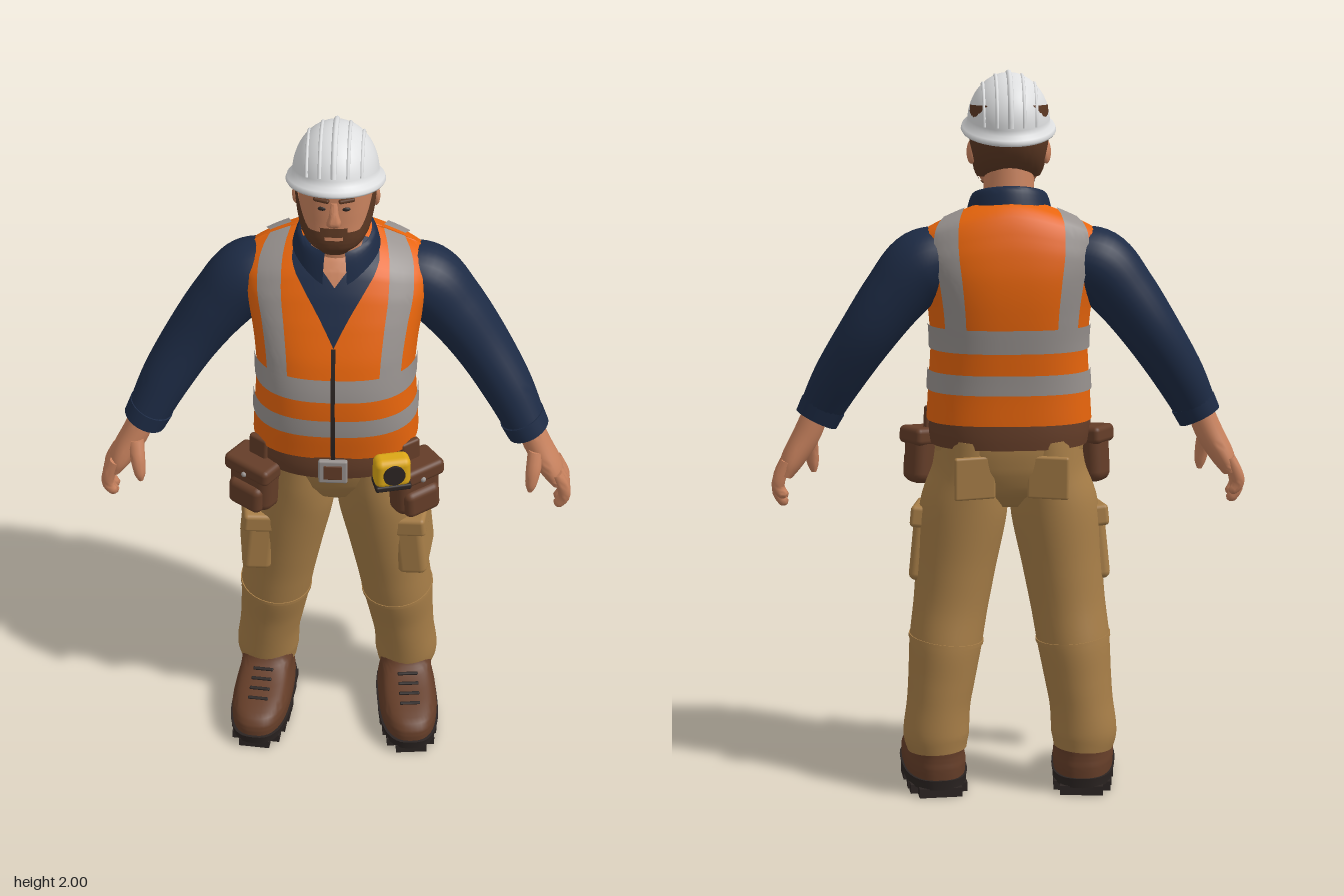
import * as THREE from 'three';
import { mergeVertices, toCreasedNormals } from 'three/addons/utils/BufferGeometryUtils.js';
import { RoundedBoxGeometry } from 'three/addons/geometries/RoundedBoxGeometry.js';

const mat = (name, color, side = THREE.FrontSide) => {
  const m = new THREE.MeshStandardMaterial({ color, side });
  m.name = name;
  return m;
};
const M = {
  white: mat('helmetWhite', 0xdedfe0), skin: mat('skin', 0xc8825e), hair: mat('hairBrown', 0x5c3823),
  navy: mat('shirtNavy', 0x1d2b45, THREE.DoubleSide), orange: mat('vestOrange', 0xe8650c), grey: mat('reflectiveGrey', 0x98928f),
  khaki: mat('trouserKhaki', 0xa67d47), leather: mat('leatherBrown', 0x643d28), dark: mat('rubberDark', 0x2b2422),
  yellow: mat('tapeYellow', 0xdba716),
};
const PI = Math.PI, TAU = PI * 2;

export function createModel() {
  const root = new THREE.Group();
  root.name = 'builder';

  const add = (name, geo, material, pos = [0, 0, 0], rot = [0, 0, 0], parent = root) => {
    const m = new THREE.Mesh(geo, material);
    m.name = name;
    m.position.set(...pos);
    m.rotation.set(...rot);
    parent.add(m);
    return m;
  };
  const rbox = (w, h, d, r = 0.015) => new RoundedBoxGeometry(w, h, d, 3, Math.min(r, w / 2.1, h / 2.1, d / 2.1));

  // Parametric sheet; faces look along du x dv
  const grid = (fn, nu, nv) => {
    const pos = [], idx = [];
    for (let j = 0; j <= nv; j++) for (let i = 0; i <= nu; i++) pos.push(...fn(i / nu, j / nv, j).toArray());
    for (let j = 0; j < nv; j++) for (let i = 0; i < nu; i++) {
      const a = j * (nu + 1) + i, b = a + nu + 1;
      idx.push(a, a + 1, b, a + 1, b + 1, b);
    }
    const g = new THREE.BufferGeometry();
    g.setAttribute('position', new THREE.Float32BufferAttribute(pos, 3));
    g.setIndex(idx);
    return toCreasedNormals(mergeVertices(g, 1e-5), 1.0);
  };

  // Body surface from rows [y, halfWidth, zFront, zBack]; angle 0 is the front, PI / 2 is +x
  const surface = (rows, n = 2.3, drop = () => 0) => {
    const curve = new THREE.CatmullRomCurve3(rows.map(r => new THREE.Vector3(r[1], r[2], r[3])));
    return (a, y, off = 0) => {
      let i = 0;
      while (i < rows.length - 2 && y > rows[i + 1][0]) i++;
      const t = THREE.MathUtils.clamp((y - rows[i][0]) / (rows[i + 1][0] - rows[i][0]), 0, 1);
      const p = curve.getPoint((i + t) / (rows.length - 1));
      const s = Math.sin(a), c = Math.cos(a);
      const f = Math.sign(s) * Math.abs(s) ** (2 / n), g = Math.sign(c) * Math.abs(c) ** (2 / n);
      return new THREE.Vector3(f * (p.x + off), y - drop(Math.abs(f), y) + (y > 1.6 ? off * 0.7 : 0),
        (p.y + p.z) / 2 + g * ((p.y - p.z) / 2 + off));
    };
  };
  // Closed shell of a surface between two heights
  const shell = (fn, y0, y1, nv = 20, nu = 48) => grid((u, v, j) => {
    const y = y0 + (y1 - y0) * THREE.MathUtils.clamp((j - 1) / nv, 0, 1);
    return j === 0 || j === nv + 2 ? fn(0, y).add(fn(PI, y)).multiplyScalar(0.5) : fn(u * TAU, y);
  }, nu, nv + 2);
  // Thin painted patch; angle and height limits may be functions
  const patch = (fn, a0, a1, y0, y1, off, nu = 10, nv = 16) => grid((u, v) => {
    if (typeof a0 === 'function') {
      const y = y0 + (y1 - y0) * v;
      return fn(a0(y) + (a1(y) - a0(y)) * u, y, off);
    }
    const a = a0 + (a1 - a0) * u, top = typeof y1 === 'function' ? y1(a) : y1;
    return fn(a, y0 + (top - y0) * v, off);
  }, nu, nv);

  // Limb along rows [x, y, z, radius across, radius in z]
  const limb = (rows, s = 1, nv = 24, nu = 24) => {
    const path = new THREE.CatmullRomCurve3(rows.map(r => new THREE.Vector3(r[0] * s, r[1], r[2])));
    const rad = new THREE.CatmullRomCurve3(rows.map(r => new THREE.Vector3(r[3], r[4], 0)));
    return grid((u, v, j) => {
      const t = THREE.MathUtils.clamp((j - 1) / nv, 0, 1), k = j === 0 || j === nv + 2 ? 0 : 1;
      const p = path.getPoint(t), r = rad.getPoint(t), d = path.getTangent(t);
      const across = new THREE.Vector3(d.y, -d.x, 0).normalize().multiplyScalar(k * r.x * Math.sin(u * TAU));
      return p.add(across).add(new THREE.Vector3(0, 0, k * r.y * Math.cos(u * TAU)));
    }, nu, nv + 2);
  };

  // Vest
  const N = 2.6, angleOf = f => Math.asin(Math.min(1, f) ** (N / 2));
  const torso = surface([[1.05, .228, .165, -.19], [1.15, .222, .178, -.195], [1.25, .216, .178, -.205], [1.35, .222, .158, -.218],
    [1.45, .238, .12, -.222], [1.53, .252, .085, -.212], [1.59, .255, .05, -.195], [1.63, .25, 0, -.175],
    [1.655, .235, -.05, -.14], [1.665, .22, -.09, -.1]], N, (f, y) => 0.08 * f ** 1.5 * THREE.MathUtils.smoothstep(y, 1.4, 1.66));
  add('vest', shell(torso, 1.05, 1.665, 40, 64), M.orange);
  for (const [y0, y1] of [[1.135, 1.19], [1.25, 1.315]])
    add('vestBand', patch(torso, 0, TAU, y0, y1, 0.005, 64, 4), M.grey);
  const i0 = angleOf(0.55), i1 = angleOf(0.8);
  for (const c of [[i0, i1], [-i1, -i0], [PI - i1, PI - i0], [PI + i0, PI + i1]])
    add('vestStrap', patch(torso, c[0], c[1], 1.31, 1.665, 0.005, 8, 28), M.grey);
  const neckline = y => angleOf(Math.min(0.45, (y - 1.4) * 2.1));
  add('shirtFront', patch(torso, y => -neckline(y), neckline, 1.4, 1.65, 0.005), M.navy);
  const throat = y => angleOf(Math.min(0.3, (y - 1.55) * 3));
  add('throat', patch(torso, y => -throat(y), throat, 1.55, 1.64, 0.008), M.skin);
  add('zip', patch(torso, y => -angleOf(.025), y => angleOf(.025), 1.05, 1.4, 0.007, 2, 16), M.dark);

  // Shirt collar with falling points
  add('collar', grid((u, v) => {
    const a = 0.28 + (TAU - 0.56) * u, c = Math.cos(a), r = 1.1 - 0.22 * v;
    const bottom = 1.62 - 0.025 * c - 0.045 * Math.max(0, c) ** 4, top = 1.67 - 0.025 * c;
    return new THREE.Vector3(0.106 * r * Math.sin(a), bottom + (top - bottom) * v + 0.015 * Math.sin(PI * v), -0.035 + 0.105 * r * c);
  }, 40, 6), M.navy);

  // Head
  add('neck', limb([[0, 1.55, -.04, .08, .075], [0, 1.64, -.03, .07, .068], [0, 1.76, -.01, .068, .075]]), M.skin);
  const head = surface([[1.665, .03, .095, .03], [1.685, .062, .108, -.01], [1.715, .082, .112, -.06], [1.755, .092, .108, -.095],
    [1.8, .097, .106, -.112], [1.85, .098, .104, -.115], [1.9, .095, .095, -.11], [1.94, .07, .07, -.08]]);
  add('head', shell(head, 1.665, 1.94, 24), M.skin);
  const beardTop = a => 1.738 + 0.12 * THREE.MathUtils.smoothstep(Math.abs(a), 0.65, 1.35);
  add('beard', patch(head, -1.75, 1.75, 1.665, beardTop, 0.009, 40, 12), M.hair);
  add('beardUnderside', shell((a, y) => head(a, y, 0.009), 1.662, 1.69, 3), M.hair);
  add('moustache', patch(head, -0.3, 0.3, 1.728, 1.75, 0.013, 10, 3), M.hair);
  add('mouth', patch(head, -0.2, 0.2, 1.715, 1.725, 0.014, 8, 2), M.skin);
  add('backHair', patch(head, 1.72, TAU - 1.72, 1.705, 1.9, 0.011, 32, 10), M.hair);
  add('fringe', patch(head, -1.75, 1.75, 1.853, 1.9, 0.008, 32, 4), M.hair);
  add('nose', limb([[0, 1.825, .1, .009, .01], [0, 1.79, .108, .013, .016], [0, 1.765, .11, .02, .018], [0, 1.755, .105, .012, .008]], 1, 10, 14), M.skin);
  for (const s of [-1, 1]) {
    const eye = add('eye', new THREE.SphereGeometry(0.01, 12, 8), M.dark, head(s * 0.27, 1.808, -0.002).toArray());
    eye.scale.set(1.2, 0.6, 0.6);
    add('eyebrow', rbox(0.042, 0.011, 0.014, 0.005), M.hair, head(s * 0.28, 1.832, 0.002).toArray(), [0, s * 0.25, s * 0.08]);
    const ear = add('ear', new THREE.SphereGeometry(0.03, 14, 10), M.skin, [s * 0.102, 1.78, -0.02], [0.15, s * 0.3, 0]);
    ear.scale.set(0.4, 1.1, 0.7);
  }

  // Hard hat, tipped back
  const hat = new THREE.Group();
  hat.name = 'hardHat';
  hat.position.set(0, 1.848, 0.003);
  hat.rotation.x = -0.23;
  root.add(hat);
  const profile = [[0.9, -0.004], [1.1, -0.012], [1.13, -0.006], [1.1, 0.004], [0.99, 0.012]].map(p => new THREE.Vector2(...p));
  for (let i = 1; i <= 14; i++) profile.push(new THREE.Vector2(0.98 * Math.cos(i / 14 * PI / 2), 0.012 + 0.133 * Math.sin(i / 14 * PI / 2)));
  add('hatShell', new THREE.LatheGeometry(profile, 48), M.white, [0, 0, 0], [0, 0, 0], hat).scale.set(0.115, 1, 0.145);
  for (const x of [-0.07, -0.036, 0, 0.036, 0.07]) {
    const k = Math.sqrt(1 - (x / 0.113) ** 2), pts = [];
    for (let i = -8; i <= 8; i++) {
      const a = i / 8 * 1.4;
      pts.push(new THREE.Vector3(x, 0.01 + 0.134 * k * Math.cos(a), 0.142 * k * Math.sin(a)));
    }
    add('hatRib', new THREE.TubeGeometry(new THREE.CatmullRomCurve3(pts), 24, x ? 0.005 : 0.008, 8), M.white, [0, 0, 0], [0, 0, 0], hat);
  }

  // Hips and belt
  const hips = surface([[.81, .06, .03, -.1], [.86, .15, .09, -.15], [.92, .195, .13, -.172], [.98, .208, .15, -.18], [1.03, .212, .155, -.18]]);
  add('hips', shell(hips, 0.81, 1.03), M.khaki);
  const belt = surface([[.98, .217, .163, -.183], [1.02, .222, .168, -.186], [1.065, .22, .165, -.185]], 2.4);
  add('belt', shell(belt, 0.982, 1.062, 4), M.leather);
  add('buckle', rbox(0.08, 0.075, 0.016, 0.006), M.grey, [0, 1.015, 0.174]);
  add('buckleCentre', rbox(0.05, 0.045, 0.006, 0.002), M.leather, [0, 1.015, 0.182]);

  // Tape measure
  add('tapeMeasure', rbox(0.1, 0.09, 0.06, 0.02), M.yellow, [0.16, 1.035, 0.185], [0, 0.25, 0]);
  add('tapeDial', new THREE.CylinderGeometry(0.03, 0.03, 0.012, 24), M.dark, [0.168, 1.038, 0.215], [PI / 2, 0, -0.25]);
  add('tapeBase', rbox(0.1, 0.018, 0.064, 0.006), M.dark, [0.16, 0.992, 0.185], [0, 0.25, 0]);

  for (const s of [-1, 1]) {
    // Sleeve and hand
    add('sleeve', limb([[.17, 1.5, -.088, .09, .09], [.24, 1.475, -.088, .1, .102], [.31, 1.4, -.085, .09, .098], [.39, 1.29, -.075, .079, .09],
      [.47, 1.165, -.042, .07, .076], [.528, 1.055, -.008, .058, .06]], s, 32, 28), M.navy);
    add('cuff', limb([[.512, 1.085, -.015, .064, .066], [.532, 1.045, -.008, .061, .063]], s, 3), M.navy);
    add('palm', limb([[.53, 1.07, -.006, .036, .038], [.56, 1.0, 0, .038, .046], [.6, .93, .005, .033, .056], [.62, .89, .005, .022, .052]], s, 14), M.skin);
    for (const [z, len] of [[.046, .1], [.02, .115], [-.008, .11], [-.034, .085]])
      add('finger', limb([[.615, .93, z, .016, .016], [.637, .88, z, .018, .016], [.64, .915 - len * .7, z * .95, .016, .014],
        [.624, .92 - len, z * .9, .013, .012], [.62, .914 - len, z * .9, .005, .005]], s, 12, 12), M.skin);
    add('thumb', limb([[.555, 1.0, .03, .022, .02], [.55, .95, .055, .021, .019], [.545, .905, .066, .016, .015], [.543, .882, .067, .007, .007]], s, 10, 12), M.skin);

    // Trouser leg with soft folds
    add('trouserLeg', limb([[.205, .125, -.09, .083, .088], [.207, .17, -.088, .092, .095], [.2, .25, -.08, .089, .1], [.19, .33, -.072, .094, .106],
      [.178, .43, -.058, .102, .118], [.165, .52, -.045, .104, .118], [.147, .65, -.032, .112, .128], [.126, .8, -.022, .122, .145],
      [.108, .9, -.015, .106, .155], [.1, 1.0, -.012, .1, .16]], s, 48, 32), M.khaki);
    add('kneeSeam', limb([[.178, .428, -.058, .105, .121], [.177, .438, -.057, .105, .121]], s, 2, 32), M.khaki);
    add('backPocket', rbox(0.115, 0.12, 0.016, 0.007), M.khaki, [s * 0.1, 0.905, -0.168], [-0.08, s * 0.22, 0]);
    add('cargoPocket', rbox(0.085, 0.2, 0.175, 0.02), M.khaki, [s * 0.222, 0.69, 0.012], [0.06, -s * 0.12, s * 0.1]);
    add('cargoFlap', rbox(0.096, 0.06, 0.186, 0.012), M.khaki, [s * 0.218, 0.77, 0.016], [0.06, -s * 0.12, s * 0.1]);

    // Tool pouch
    const pouch = new THREE.Group();
    pouch.name = 'toolPouch';
    pouch.position.set(s * 0.218, 0.925, 0.095);
    pouch.rotation.set(0, s * 0.6, s * 0.06);
    root.add(pouch);
    add('pouchBody', rbox(0.14, 0.16, 0.085, 0.03), M.leather, [0, 0, 0], [0, 0, 0], pouch);
    add('pouchPocket', rbox(0.11, 0.085, 0.05, 0.02), M.leather, [0, -0.035, 0.035], [0, 0, 0], pouch);
    add('pouchFlap', rbox(0.15, 0.05, 0.1, 0.015), M.leather, [0, 0.055, 0.004], [0, 0, 0], pouch);
    add('pouchHanger', rbox(0.06, 0.1, 0.02, 0.008), M.leather, [0, 0.09, -0.01], [0, 0, 0], pouch);
    add('pouchStud', new THREE.SphereGeometry(0.008, 10, 8), M.grey, [0, 0.045, 0.054], [0, 0, 0], pouch);

    // Boot
    const boot = new THREE.Group();
    boot.name = 'boot';
    boot.position.set(s * 0.212, 0, 0);
    boot.rotation.y = s * 0.1;
    root.add(boot);
    const upper = surface([[.04, .084, .213, -.168], [.075, .086, .213, -.17], [.1, .082, .195, -.168], [.118, .077, .145, -.168],
      [.135, .075, .07, -.168], [.155, .076, .015, -.168], [.175, .074, 0, -.165]], 2.6);
    add('bootUpper', shell(upper, 0.04, 0.175, 18), M.leather, [0, 0, 0], [0, 0, 0], boot);
    const sole = surface([[.022, .086, .216, -.17], [.05, .09, .221, -.174]], 2.7);
    add('sole', shell(sole, 0.022, 0.05, 2), M.dark, [0, 0, 0], [0, 0, 0], boot);
    for (const [z, w, d] of [[-.145, .12, .04], [-.1, .16, .04], [-.055, .165, .035], [.025, .172, .035], [.07, .17, .035], [.115, .16, .035], [.16, .14, .035], [.195, .09, .026]])
      add('soleLug', new THREE.BoxGeometry(w, 0.026, d), M.dark, [0, 0.013, z], [0, 0, 0], boot);
    for (let i = 0; i < 4; i++)
      add('lace', rbox(0.06, 0.007, 0.01, 0.003), M.dark, [0, 0.122 + i * 0.01, 0.128 - i * 0.032], [0.3, 0, 0], boot);
  }
  return root;
}
